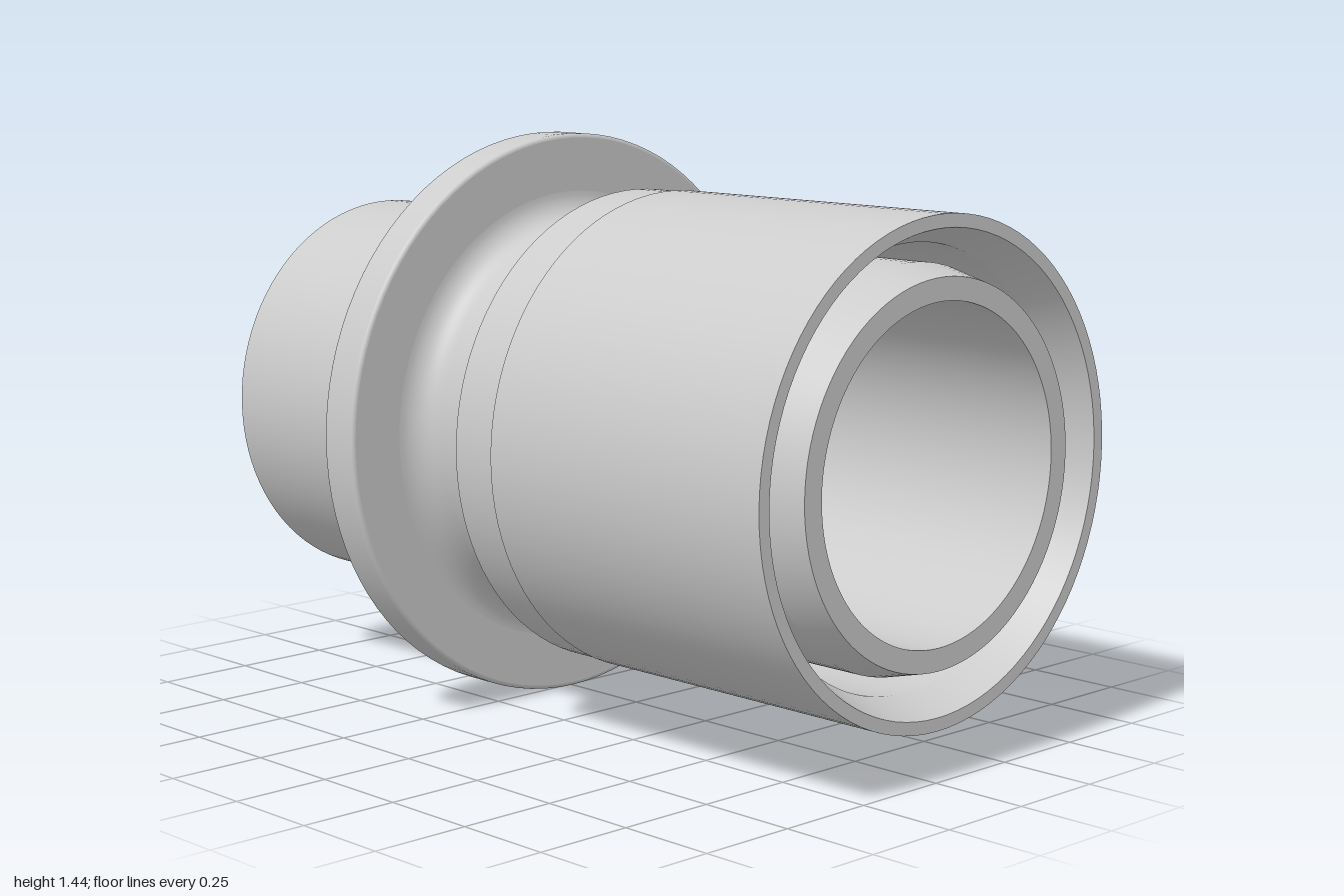
import * as THREE from 'three';
import { mergeGeometries } from 'three/addons/utils/BufferGeometryUtils.js';

const SEGMENTS = 96;
const FLANGE_R = 0.72;

// Points [x, radius] along a quarter arc, from angle a0 to a1 about (cx, cr)
function arc(cx, cr, r, a0, a1, n = 10) {
  return Array.from({ length: n + 1 }, (_, i) => {
    const a = THREE.MathUtils.degToRad(a0 + ((a1 - a0) * i) / n);
    return [cx + r * Math.cos(a), cr + r * Math.sin(a)];
  });
}

// Revolve smooth strips of [x, radius] points; edges between strips stay sharp.
// Outer strips run towards +x, inner strips towards -x.
function revolve(name, material, strips) {
  const parts = strips.map((strip) =>
    new THREE.LatheGeometry(strip.map(([x, r]) => new THREE.Vector2(r, x)), SEGMENTS));
  const geometry = mergeGeometries(parts);
  geometry.rotateZ(-Math.PI / 2);
  const mesh = new THREE.Mesh(geometry, material);
  mesh.name = name;
  return mesh;
}

// Break a polyline into straight strips with hard edges
const hard = (points) => points.slice(1).map((p, i) => [points[i], p]);

export function createModel() {
  const group = new THREE.Group();
  group.name = 'pipeCoupling';
  const metal = new THREE.MeshStandardMaterial({ color: 0xcccccc });
  metal.name = 'light grey metal';

  // Plain pipe end with outer and inner chamfers
  group.add(revolve('plainPipeEnd', metal, hard([
    [-0.97, 0.4], [-1, 0.425], [-1, 0.49], [-0.98, 0.505], [-0.415, 0.505],
  ])));

  // Collar with a fillet on each side and rounded rim edges
  group.add(revolve('collar', metal, [
    arc(-0.415, 0.575, 0.07, -90, 0),
    [[-0.345, 0.575], [-0.345, FLANGE_R - 0.01]],
    arc(-0.335, FLANGE_R - 0.01, 0.01, 180, 90, 4),
    [[-0.335, FLANGE_R], [-0.245, FLANGE_R]],
    arc(-0.245, FLANGE_R - 0.01, 0.01, 90, 0, 4),
    [[-0.235, FLANGE_R - 0.01], [-0.235, 0.575]],
    arc(-0.165, 0.575, 0.07, 180, 270),
  ]));

  // Neck between collar and sleeve
  group.add(revolve('neck', metal, [[[-0.165, 0.505], [0, 0.505]]]));

  // Outer sleeve: stepped back edge, flared mouth and socket floor
  group.add(revolve('outerSleeve', metal, hard([
    [0, 0.505], [0, 0.593], [0.13, 0.593], [0.13, 0.597], [1, 0.597],
    [1, 0.565], [0.9, 0.525], [0.13, 0.525], [0.13, 0.48],
  ])));

  // Inner tube with tapered tip, and the bore running right through
  group.add(revolve('innerTube', metal, hard([
    [0.13, 0.48], [0.9, 0.48], [1, 0.455], [1, 0.4], [-0.97, 0.4],
  ])));

  group.position.y = FLANGE_R;
  const model = new THREE.Group();
  model.name = 'model';
  model.add(group);
  return model;
}
